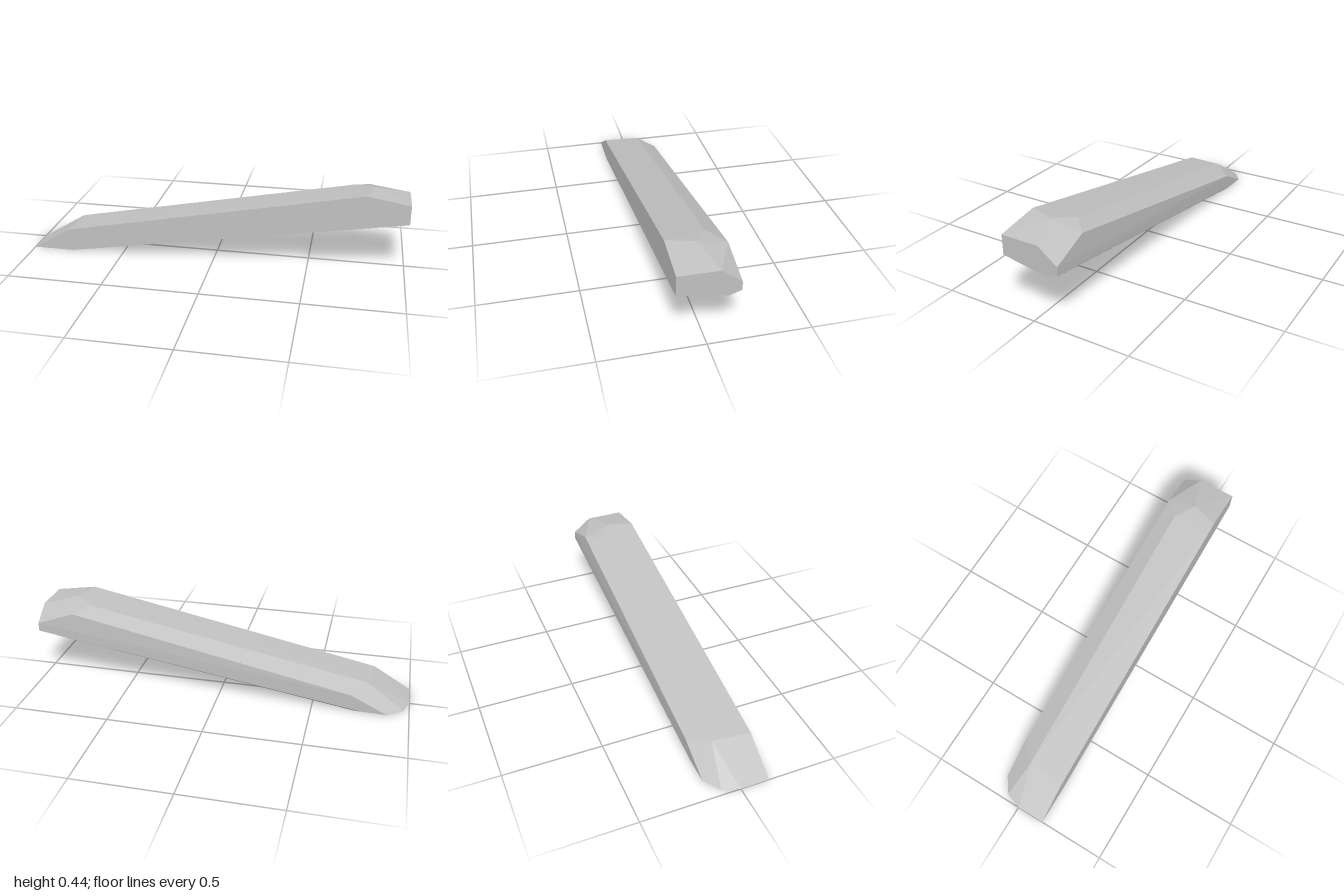
import * as THREE from 'three';
import { ConvexGeometry } from 'three/addons/geometries/ConvexGeometry.js';

export function createModel() {
  const grey = new THREE.MeshStandardMaterial({ color: 0xc0c0c0 });
  grey.name = 'grey';

  // Corner points of the faceted bar, [x, y, z]
  const foot = [ // flat ground contact at the low end
    [-1, 0, 0.148], [-1, 0, 0], [-0.97, 0, -0.085], [-0.89, 0, -0.143],
    [-0.78, 0, 0.148], [-0.72, 0, -0.135], [-0.76, 0.004, -0.144],
  ];
  const lowShoulder = [ // where the sloped tip meets the long top
    [-0.8, 0.121, 0.148], [-0.78, 0.125, -0.05], [-0.7, 0.095, -0.146],
  ];
  const highShoulder = [ // crest near the raised end
    [0.78, 0.437, 0.148], [0.82, 0.437, 0.01], [0.72, 0.418, -0.06], [0.8, 0.395, -0.141],
  ];
  const endFace = [ // six-sided raised end
    [1, 0.3, 0.148], [1, 0.402, 0.148], [1, 0.4, -0.05],
    [1, 0.325, -0.148], [1, 0.28, -0.148], [1, 0.26, -0.087],
  ];

  const points = [...foot, ...lowShoulder, ...highShoulder, ...endFace]
    .map((p) => new THREE.Vector3(...p));
  const bar = new THREE.Mesh(new ConvexGeometry(points), grey);
  bar.name = 'facetedBar';

  const group = new THREE.Group();
  group.name = 'slopedBar';
  group.add(bar);
  return group;
}
